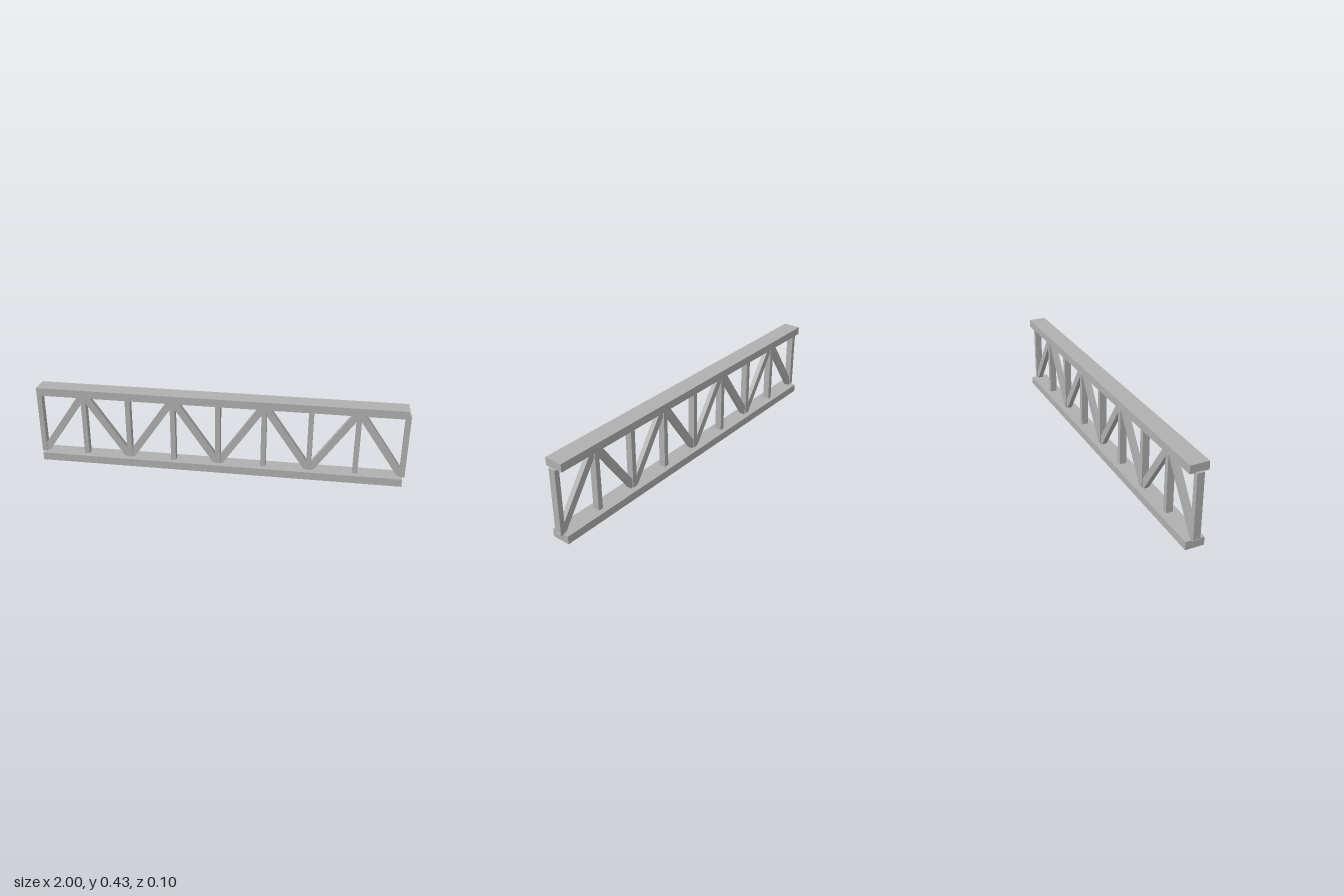
import * as THREE from 'three';

const HALF = 0.984;          // half span between end posts
const PANELS = 8;
const PITCH = (2 * HALF) / PANELS;
const HEIGHT = 0.434;
const CHORD = { height: 0.043, depth: 0.098 };
const POST = { width: 0.027, depth: 0.037 };
const BRACE = { width: 0.0385, depth: 0.027 };
const LOW = 0.039;           // web members sink slightly into the chords
const HIGH = 0.395;

export function createModel() {
  const steel = new THREE.MeshStandardMaterial({ color: 0xb0b0b0 });
  steel.name = 'grey steel';
  const model = new THREE.Group();
  model.name = 'truss';

  // Straight rectangular bar between two points in the truss plane
  function bar(name, x0, y0, x1, y1, width, depth) {
    const length = Math.hypot(x1 - x0, y1 - y0);
    const mesh = new THREE.Mesh(new THREE.BoxGeometry(length, width, depth), steel);
    mesh.name = name;
    mesh.position.set((x0 + x1) / 2, (y0 + y1) / 2, 0);
    mesh.rotation.z = Math.atan2(y1 - y0, x1 - x0);
    model.add(mesh);
  }

  // Chords
  const half = CHORD.height / 2;
  bar('bottomChord', -HALF, half, HALF, half, CHORD.height, CHORD.depth);
  bar('topChord', -HALF, HEIGHT - half, HALF, HEIGHT - half, CHORD.height, CHORD.depth);

  // Vertical posts at every panel point
  for (let i = 0; i <= PANELS; i++) {
    const x = -HALF + i * PITCH;
    bar('post', x, LOW, x, HIGH, POST.width, POST.depth);
  }

  // Diagonals zigzag up and down between the chords
  for (let i = 0; i < PANELS; i++) {
    const x = -HALF + i * PITCH;
    const rising = i % 2 === 0;
    bar('diagonal', x, rising ? LOW : HIGH, x + PITCH, rising ? HIGH : LOW, BRACE.width, BRACE.depth);
  }

  return model;
}
